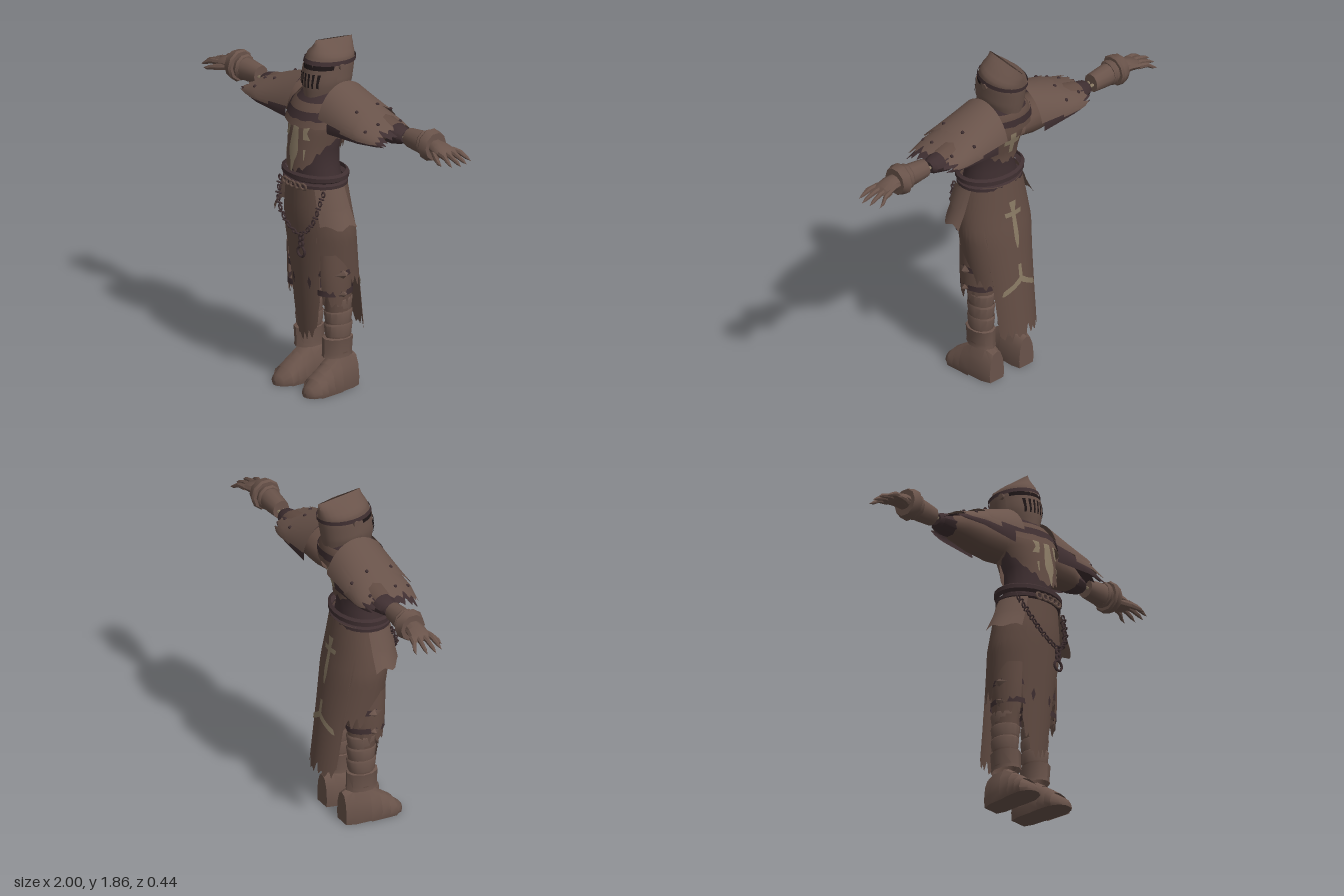
import * as THREE from 'three';
import { toCreasedNormals } from 'three/addons/utils/BufferGeometryUtils.js';

const flat = (name, color) => {
  const m = new THREE.MeshStandardMaterial({ color, side: THREE.DoubleSide });
  m.name = name;
  return m;
};
const M = {
  steel: flat('worn brown steel', 0x69534a),
  cloth: flat('brown cloth', 0x624c43),
  dark: flat('dark leather', 0x3f2f31),
  tan: flat('faded tan', 0x877862),
  black: flat('shadow black', 0x1e1617),
};
const lerp = THREE.MathUtils.lerp;
const rag = (u, k) => Math.abs((((u * k) % 1) + 1) % 1 * 2 - 1) * (0.65 + 0.35 * Math.sin(u * k * 2.3));

function add(parent, name, geo, mat) {
  const m = new THREE.Mesh(geo, mat);
  m.name = name;
  parent.add(m);
  return m;
}

// Grid surface from fn(u, v) -> [x, y, z]
function sheet(parent, name, mat, nu, nv, fn, wrap = false) {
  const pos = [], idx = [], cols = wrap ? nu : nu + 1;
  for (let j = 0; j <= nv; j++)
    for (let i = 0; i < cols; i++) pos.push(...fn(i / nu, j / nv));
  for (let j = 0; j < nv; j++)
    for (let i = 0; i < nu; i++) {
      const a = j * cols + i, b = j * cols + (i + 1) % cols, c = a + cols, d = b + cols;
      idx.push(a, c, b, b, c, d);
    }
  const g = new THREE.BufferGeometry();
  g.setAttribute('position', new THREE.Float32BufferAttribute(pos, 3));
  g.setIndex(idx);
  return add(parent, name, toCreasedNormals(g, 0.7), mat);
}

// Elliptical rings [t, c1, c2, r1, r2] along the y or x axis
function loft(parent, name, mat, rings, axis = 'y', n = 14) {
  const nv = rings.length - 1;
  return sheet(parent, name, mat, n, nv, (u, v) => {
    const [t, c1, c2, r1, r2] = rings[Math.round(v * nv)], a = u * Math.PI * 2;
    const p = c1 + r1 * Math.sin(a), q = c2 + r2 * Math.cos(a);
    return axis === 'y' ? [p, t, q] : [t, p, q];
  }, true);
}

// Body profiles are rows [y, half width, front z, back z] from top to bottom
function rowAt(prof, y) {
  let i = 0;
  while (i < prof.length - 2 && y < prof[i + 1][0]) i++;
  const k = THREE.MathUtils.clamp((prof[i][0] - y) / (prof[i][0] - prof[i + 1][0]), 0, 1);
  return prof[i].map((c, j) => lerp(c, prof[i + 1][j], k));
}
const grow = (prof, d) => prof.map(([y, w, f, b]) => [y, w + d, f + d, b - d]);

function shell(parent, name, mat, prof, top, hem, { a0 = -Math.PI, a1 = Math.PI, n = 40, nv = 12, tilt = 0, cx = 0 } = {}) {
  return sheet(parent, name, mat, n, nv, (u, v) => {
    const a = lerp(a0, a1, u), y = lerp(top, typeof hem === 'function' ? hem(a) : hem, v);
    const [, w, f, b] = rowAt(prof, y);
    const z = (f + b) / 2 + (f - b) / 2 * Math.cos(a);
    return [cx + w * Math.sin(a), y + tilt * z, z];
  }, a1 - a0 > 6.28);
}

// Painted patch lying on a profile; rows are [y, x0, x1]
function patch(parent, name, mat, prof, side, rows, off = 0.006) {
  const lines = rows.map(([y, a, b]) => [y, a, b, 0]);
  sheet(parent, name, mat, 4, 10, (u, v) => {
    const y = lerp(rows[0][0], rows[rows.length - 1][0], v);
    const [, x0, x1] = rowAt(lines, y), x = lerp(x0, x1, u);
    const [, w, f, b] = rowAt(prof, y);
    const c = Math.sqrt(Math.max(0, 1 - (x / w) ** 2));
    return [x, y, (f + b) / 2 + side * ((f - b) / 2 * c + off)];
  });
}

function mirrored(parent, name, build) {
  const left = new THREE.Group();
  left.name = 'left' + name;
  build(left);
  const right = left.clone(true);
  right.name = 'right' + name;
  right.scale.x = -1;
  parent.add(left, right);
}

const HELM = [[1.85, 0.005, 0.05, -0.19], [1.82, 0.05, 0.06, -0.19], [1.775, 0.1, 0.085, -0.185],
  [1.73, 0.105, 0.1, -0.18], [1.64, 0.105, 0.11, -0.165], [1.56, 0.08, 0.1, -0.15]];
const TABARD = [[1.52, 0.16, 0.14, -0.12], [1.42, 0.165, 0.175, -0.12], [1.3, 0.14, 0.195, -0.09], [1.16, 0.14, 0.21, -0.08]];
const SKIRT = [[1.13, 0.17, 0.185, -0.095], [0.95, 0.2, 0.185, -0.12], [0.85, 0.208, 0.175, -0.14],
  [0.6, 0.182, 0.15, -0.175], [0.25, 0.17, 0.12, -0.22]];
const COLLAR = [[1.6, 0.1, 0.09, -0.13], [1.54, 0.15, 0.14, -0.15], [1.44, 0.19, 0.18, -0.15]];

function buildHelmet(g) {
  shell(g, 'helmet', M.steel, HELM, 1.85, 1.56, { n: 24, nv: 20, tilt: 0.12 });
  shell(g, 'browBand', M.dark, grow(HELM, 0.008), 1.757, 1.735, { n: 24, nv: 1, tilt: 0.05 });
  const visor = grow(HELM, 0.008);
  shell(g, 'visor', M.steel, visor, 1.715, 1.565, { a0: -1.35, a1: 1.35, n: 14, nv: 5 });
  shell(g, 'eyeSlot', M.black, grow(HELM, 0.003), 1.74, 1.712, { a0: -1.2, a1: 1.2, n: 14, nv: 1 });
  for (let i = -3; i <= 3; i++)
    patch(g, 'breathSlit', M.black, visor, 1, [[1.695, i * 0.023 - 0.006, i * 0.023 + 0.006], [1.62, i * 0.021 - 0.004, i * 0.021 + 0.004]], 0.004);
  mirrored(g, 'VisorPivot', s => {
    const p = add(s, 'visorPivot', new THREE.CylinderGeometry(0.016, 0.016, 0.015, 8), M.steel);
    p.rotation.z = Math.PI / 2;
    p.position.set(0.11, 1.725, -0.03);
  });
}

function buildTorso(g) {
  loft(g, 'torso', M.dark, [[1.08, 0, 0.05, 0.165, 0.125], [1.2, 0, 0.05, 0.13, 0.115], [1.3, 0, 0.05, 0.128, 0.115],
    [1.4, 0, 0.03, 0.15, 0.125], [1.5, 0, 0.01, 0.15, 0.12], [1.58, 0, -0.02, 0.09, 0.1]], 'y', 20);
  shell(g, 'tabard', M.cloth, TABARD, 1.52, a => {
    const c = Math.cos(a);
    return lerp(1.36, c > 0 ? 1.18 : 1.25, Math.abs(c) ** 1.3) + 0.035 * rag(a, 3.3);
  }, { n: 96 });
  // Layered collar flounces
  [[1.6, 1.54, 0, M.dark], [1.565, 1.515, 0.012, M.cloth], [1.53, 1.485, 0.018, M.dark], [1.5, 1.45, 0.012, M.cloth]]
    .forEach(([t, b, d, m]) => shell(g, 'collarLayer', m, grow(COLLAR, d), t, a => b + 0.012 * rag(a, 2.2), { nv: 2, tilt: -0.15 }));
  // Faded emblem, front and back
  patch(g, 'chestCrossUpright', M.tan, TABARD, 1, [[1.48, -0.032, 0.032], [1.42, -0.02, 0.02], [1.33, -0.03, 0.03], [1.29, -0.035, 0.035], [1.26, -0.018, 0.018], [1.19, -0.003, 0.003]]);
  for (const s of [-1, 1]) {
    patch(g, 'chestCrossArm', M.tan, TABARD, 1, [[1.45, s * 0.05, s * 0.088], [1.4, s * 0.05, s * 0.072], [1.365, s * 0.055, s * 0.09]]);
    patch(g, 'fadedFringe', M.tan, TABARD, 1, [[1.315, s * 0.06, s * 0.072], [1.26, s * 0.064, s * 0.068]]);
  }
  patch(g, 'backCrossUpright', M.tan, TABARD, -1, [[1.44, -0.02, 0.02], [1.32, -0.012, 0.012]]);
  patch(g, 'backCrossBar', M.tan, TABARD, -1, [[1.405, -0.05, 0.05], [1.375, -0.05, 0.05]]);
  // Belts
  const belt = (name, m, y, h, w, d) => loft(g, name, m, [[y + h, 0, 0.052, w - 0.015, d - 0.015], [y + h * 0.5, 0, 0.052, w, d],
    [y - h * 0.5, 0, 0.052, w, d], [y - h, 0, 0.052, w - 0.02, d - 0.02]], 'y', 24);
  belt('upperBelt', M.dark, 1.16, 0.022, 0.195, 0.152);
  belt('lowerBelt', M.dark, 1.118, 0.016, 0.185, 0.148);
  for (let i = -2; i <= 2; i++) {
    const r = add(g, 'beltKnot', new THREE.TorusGeometry(0.016, 0.006, 5, 8), M.steel);
    r.position.set(i * 0.035, 1.118, 0.203 - i * i * 0.003);
    r.scale.x = 1.3;
  }
}

function buildSkirt(g) {
  shell(g, 'raggedSkirt', M.cloth, SKIRT, 1.13, a => {
    const s = Math.abs(Math.sin(a)), front = Math.cos(a) > 0;
    if (front && s < 0.6) return 0.25 + 0.2 * (s / 0.6) ** 3 + 0.08 * rag(a, 5.1);
    if (!front && s < 0.74) return 0.27 + 0.07 * rag(a, 4.3);
    return 0.57 + 0.05 * Math.cos(a) + 0.1 * rag(a, 3.7);
  }, { n: 144, nv: 14 });
  for (const s of [-1, 1])
    patch(g, 'skirtTear', M.dark, SKIRT, 1, [[0.62, s * 0.06, s * 0.06], [0.59, s * 0.048, s * 0.072], [0.55, s * 0.06, s * 0.06]], 0.004);
  patch(g, 'skirtCrossUpright', M.tan, SKIRT, -1, [[1.03, -0.022, 0.022], [0.97, -0.012, 0.012], [0.83, -0.015, 0.015], [0.77, -0.004, 0.004]]);
  patch(g, 'skirtCrossBar', M.tan, SKIRT, -1, [[0.975, -0.055, 0.055], [0.95, -0.05, 0.05]]);
  patch(g, 'skirtForkStem', M.tan, SKIRT, -1, [[0.68, -0.01, 0.01], [0.59, -0.012, 0.012]]);
  for (const s of [-1, 1])
    patch(g, 'skirtForkArm', M.tan, SKIRT, -1, [[0.61, 0, s * 0.01], [0.58, 0, s * 0.05], [0.55, s * 0.05, s * 0.1], [0.52, s * 0.1, s * 0.11]]);
  // Flared hip plates
  const tasset = [[1.11, 0.178, 0.195, -0.1], [1.0, 0.225, 0.205, -0.11], [0.91, 0.275, 0.215, -0.12]];
  mirrored(g, 'HipPlate', s => {
    shell(s, 'hipPlate', M.steel, tasset, 1.11, a => 0.92 + 0.012 * Math.sin(a * 9), { a0: 0.72, a1: 1.85, n: 8, nv: 4 });
    shell(s, 'hipPlateOverlay', M.steel, grow(tasset, 0.008), 1.1, a => 1.0 + 0.02 * rag(a, 1.8), { a0: 0.85, a1: 1.7, n: 8, nv: 2 });
  });
  // Hanging chain and ring
  const curve = new THREE.CatmullRomCurve3([[-0.17, 1.09, 0.14], [-0.13, 0.99, 0.185], [-0.04, 0.9, 0.205], [0.06, 0.865, 0.205],
    [0.13, 0.93, 0.185], [0.165, 1.09, 0.14]].map(p => new THREE.Vector3(...p)));
  const link = new THREE.TorusGeometry(0.015, 0.005, 5, 8);
  for (let i = 0; i <= 24; i++) {
    const m = add(g, 'chainLink', link, M.dark), t = curve.getTangentAt(i / 24);
    m.position.copy(curve.getPointAt(i / 24));
    m.rotation.set(i % 2 ? 1.1 : 0, 0, Math.atan2(t.y, t.x));
    m.scale.y = 0.7;
  }
  [[0.845, 0.014], [0.815, 0.014], [0.77, 0.027]].forEach(([y, r]) =>
    add(g, 'hangingRing', new THREE.TorusGeometry(r, 0.007, 6, 14), M.dark).position.set(0.063, y, 0.2));
}

function buildLeg(g) {
  loft(g, 'leg', M.cloth, [[0.85, 0.1, 0.02, 0.085, 0.09], [0.6, 0.11, 0.01, 0.075, 0.085], [0.48, 0.112, 0, 0.062, 0.075], [0.2, 0.112, -0.005, 0.055, 0.065]]);
  // Shin bands
  [0.5, 0.43, 0.36].forEach((y, i) => loft(g, 'shinBand', M.steel, [[y, 0.112, -0.004, 0.06, 0.074],
    [y - 0.01, 0.112, -0.004, 0.066 - i * 0.001, 0.08], [y - 0.068, 0.112, -0.004, 0.06, 0.072]]));
  loft(g, 'greaveCuff', M.steel, [[0.285, 0.112, 0, 0.05, 0.07], [0.28, 0.112, 0, 0.066, 0.086], [0.2, 0.108, 0, 0.06, 0.085], [0.18, 0.108, 0, 0.063, 0.088]], 'y', 10);
  // Torn knee wrap with spiked side guard
  const wrap = [[0.75, 0.078, 0.13, -0.08], [0.6, 0.084, 0.125, -0.075], [0.46, 0.08, 0.11, -0.06]];
  shell(g, 'kneeWrap', M.cloth, wrap, 0.75, a => 0.46 + 0.1 * rag(a, 1.9), { a0: 0.2, a1: 2.4, n: 24, nv: 4, cx: 0.11 });
  [[0.64, 0.045], [0.535, 0.032]].forEach(([y, r]) => {
    const c = add(g, 'kneeSpike', new THREE.ConeGeometry(r, 0.05, 4), M.steel);
    c.rotation.z = -Math.PI / 2;
    c.position.set(0.192, y, 0.03);
    c.scale.z = 1.5;
    loft(g, 'kneeStrap', M.dark, [[y + 0.02, 0.11, 0.02, 0.083, 0.103], [y - 0.01, 0.11, 0.02, 0.084, 0.104]]);
  });
  // Boot: flat-soled arches from heel to toe, rows [z, half width, height]
  const boot = [[-0.11, 0, 0.1], [-0.11, 0.05, 0.17], [-0.06, 0.066, 0.19], [0.02, 0.068, 0.185], [0.08, 0.074, 0.13], [0.15, 0.074, 0.085], [0.2, 0.05, 0.05], [0.22, 0.015, 0.025], [0.22, 0, 0.02]];
  const arch = [[-0.92, 0], [-1, 0.25], [-0.85, 0.65], [-0.5, 0.92], [0, 1], [0.5, 0.92], [0.85, 0.65], [1, 0.25], [0.92, 0]];
  const place = (z, w, h, [ax, ay]) => [0.108 + z * 0.05 + ax * w, ay * h, z];
  sheet(g, 'boot', M.steel, 9, boot.length - 1, (u, v) =>
    place(...boot[Math.round(v * (boot.length - 1))], arch[Math.round(u * 9) % 9]), true);
  // Overlapping foot plates
  [[0.02, 0.08, 0.185, 0.145], [0.075, 0.125, 0.145, 0.112], [0.12, 0.165, 0.115, 0.082]].forEach(([z0, z1, h0, h1]) =>
    sheet(g, 'footPlate', M.steel, 8, 1, (u, v) => place(lerp(z0, z1, v), 0.077, lerp(h0, h1, v) + 0.005, arch[Math.round(u * 8)])));
}

function buildArm(g) {
  loft(g, 'sleeve', M.cloth, [[0.08, 1.44, -0.03, 0.08, 0.1], [0.15, 1.45, -0.04, 0.095, 0.11], [0.28, 1.46, -0.06, 0.09, 0.1], [0.4, 1.465, -0.07, 0.07, 0.085], [0.48, 1.465, -0.08, 0.05, 0.06]], 'x');
  loft(g, 'sleeveCuff', M.dark, [[0.44, 1.46, -0.08, 0.055, 0.065], [0.46, 1.46, -0.08, 0.058, 0.068], [0.53, 1.46, -0.08, 0.042, 0.05], [0.55, 1.46, -0.08, 0.03, 0.035], [0.55, 1.46, -0.08, 0, 0]], 'x', 10);
  for (const z of [-0.095, -0.065])
    loft(g, 'armRod', M.tan, [[0.54, 1.463, z, 0.009, 0.009], [0.6, 1.463, z, 0.009, 0.009]], 'x', 6);
  // Layered pauldron arching over the arm
  const plate = (name, mat, x0, x1, lift, arc, tear) => sheet(g, name, mat, 44, 6, (u, v) => {
    const a = lerp(-arc, arc, u), x = lerp(x0, x1 + 0.03 * Math.sin(a) - tear * rag(u, 9), v);
    const ry = 1.635 - 0.36 * (x - 0.12) - 1.44 + lift, rz = 0.165 - 0.25 * Math.max(0, x - 0.4) + lift;
    return [x, 1.44 + ry * Math.cos(a), -0.035 + rz * Math.sin(a)];
  });
  plate('pauldronLining', M.dark, 0.16, 0.54, -0.016, 1.75, 0.06);
  plate('outerPauldron', M.steel, 0.28, 0.51, 0, 1.5, 0.06);
  plate('innerPauldron', M.steel, 0.12, 0.36, 0.012, 1.35, 0.025);
  [[0.32, -0.9], [0.32, -0.3], [0.32, 0.5], [0.44, -0.7], [0.44, 0.3], [0.43, 0.9]].forEach(([x, a]) => {
    const ry = 0.195 - 0.36 * (x - 0.12) + (x < 0.4 ? 0.012 : 0);
    add(g, 'pauldronRivet', new THREE.SphereGeometry(0.01, 6, 5), M.dark).position.set(x, 1.44 + ry * Math.cos(a), -0.035 + (x < 0.4 ? 0.177 : 0.155) * Math.sin(a));
  });
  // Gauntlet
  loft(g, 'forearm', M.steel, [[0.58, 1.468, -0.08, 0, 0], [0.58, 1.468, -0.08, 0.05, 0.046], [0.66, 1.47, -0.08, 0.058, 0.054], [0.72, 1.472, -0.08, 0.06, 0.056]], 'x', 12);
  [[0.695, 0.735, 0.07], [0.73, 0.785, 0.086]].forEach(([x0, x1, r]) => loft(g, 'gauntletBand', M.steel, [[x0, 1.475, -0.08, 0.045, 0.045],
    [x0, 1.475, -0.08, r - 0.008, r - 0.012], [x0 + 0.012, 1.475, -0.08, r, r - 0.004], [x1, 1.475, -0.08, r * 0.85, r * 0.8], [x1, 1.475, -0.08, 0.03, 0.03]], 'x', 10));
  loft(g, 'palm', M.steel, [[0.77, 1.475, -0.08, 0.04, 0.045], [0.82, 1.475, -0.08, 0.034, 0.052], [0.88, 1.465, -0.085, 0.022, 0.058], [0.9, 1.46, -0.085, 0, 0.04]], 'x', 10);
  [[-0.04, -0.022, 0.98], [-0.07, -0.065, 1], [-0.1, -0.11, 0.99], [-0.13, -0.16, 0.965]].forEach(([z0, z1, tip]) =>
    loft(g, 'finger', M.steel, [[0.86, 1.468, z0, 0.017, 0.014], [0.91, 1.463, lerp(z0, z1, 0.4), 0.015, 0.013], [tip - 0.03, 1.445, lerp(z0, z1, 0.8), 0.011, 0.01], [tip, 1.43, z1, 0, 0]], 'x', 7));
  loft(g, 'thumb', M.steel, [[0.79, 1.46, -0.055, 0.018, 0.018], [0.85, 1.45, -0.02, 0.018, 0.015], [0.9, 1.438, 0, 0.012, 0.011], [0.93, 1.43, 0.005, 0, 0]], 'x', 7);
}

export function createModel() {
  const model = new THREE.Group();
  model.name = 'armouredKnight';
  buildHelmet(model);
  buildTorso(model);
  buildSkirt(model);
  mirrored(model, 'Leg', buildLeg);
  mirrored(model, 'Arm', buildArm);
  return model;
}
